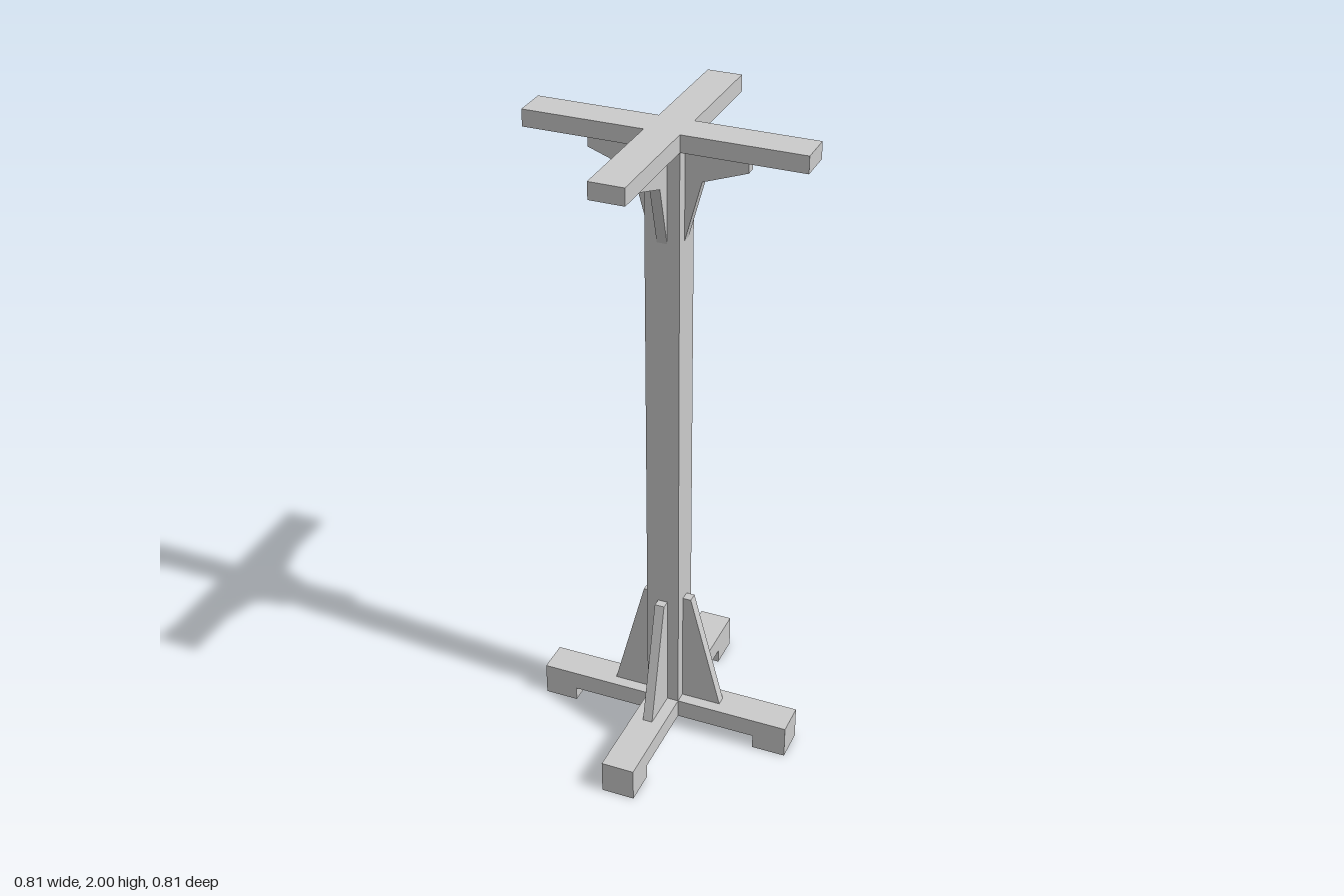
import * as THREE from 'three';

const ARM = 0.405;   // reach of the crossed beams
const HALF = 0.051;  // half width of post and beams
const PLATE = 0.03;  // thickness of the braces

const material = new THREE.MeshStandardMaterial({ color: 0xcccccc, flatShading: true });

function shapeFrom(points) {
  return new THREE.Shape(points.map(([x, y]) => new THREE.Vector2(x, y)));
}

function addMesh(parent, name, geometry, x = 0, y = 0, z = 0) {
  const mesh = new THREE.Mesh(geometry, material);
  mesh.name = name;
  mesh.position.set(x, y, z);
  parent.add(mesh);
  return mesh;
}

// Plus-shaped slab lying flat, from height y0 to y1
function crossSlab(y0, y1) {
  const a = ARM, h = HALF;
  const shape = shapeFrom([
    [a, -h], [a, h], [h, h], [h, a], [-h, a], [-h, h],
    [-a, h], [-a, -h], [-h, -h], [-h, -a], [h, -a], [h, -h],
  ]);
  const geometry = new THREE.ExtrudeGeometry(shape, { depth: y1 - y0, bevelEnabled: false });
  return geometry.rotateX(-Math.PI / 2).translate(0, y0, 0);
}

// Upright plate with its outline in the radius/height plane
function plate(points) {
  const geometry = new THREE.ExtrudeGeometry(shapeFrom(points), { depth: PLATE, bevelEnabled: false });
  return geometry.translate(0, 0, -PLATE / 2);
}

export function createModel() {
  const model = new THREE.Group();
  model.name = 'crossPost';

  // Square post between the two crosses
  addMesh(model, 'post', new THREE.BoxGeometry(2 * HALF, 1.845, 2 * HALF), 0, 1.0275, 0);
  addMesh(model, 'topCross', crossSlab(1.95, 2));
  addMesh(model, 'baseCross', crossSlab(0.045, 0.105));

  const gusset = plate([[HALF, 0.105], [0.175, 0.105], [0.077, 0.48], [HALF, 0.48]]);
  const bracket = plate([[HALF, 1.68], [0.1, 1.86], [0.23, 1.907], [0.23, 1.95], [HALF, 1.95]]);
  const foot = new THREE.BoxGeometry(0.105, 0.045, 2 * HALF);

  // Foot, base gusset and top bracket on each of the four sides
  ['left', 'back', 'right', 'front'].forEach((side, i) => {
    const arm = new THREE.Group();
    arm.name = side + 'Arm';
    arm.rotation.y = i * Math.PI / 2;
    addMesh(arm, side + 'Foot', foot, ARM - 0.0525, 0.0225, 0);
    addMesh(arm, side + 'Gusset', gusset);
    addMesh(arm, side + 'Bracket', bracket);
    model.add(arm);
  });

  return model;
}
